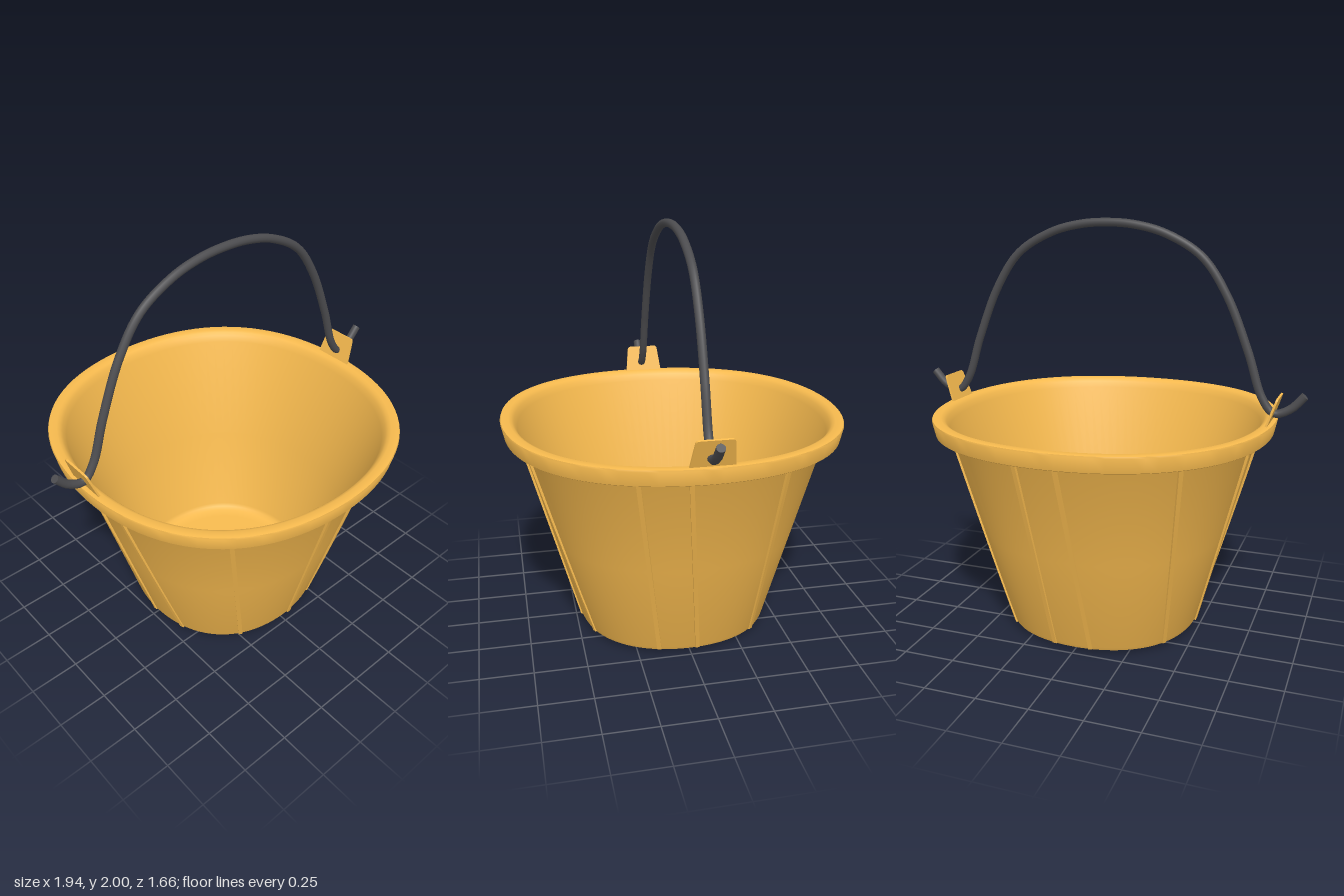
import * as THREE from 'three';
import { toCreasedNormals } from 'three/addons/utils/BufferGeometryUtils.js';

const yellow = new THREE.MeshStandardMaterial({ color: 0xf5b94e, side: THREE.DoubleSide });
const dark = new THREE.MeshStandardMaterial({ color: 0x4c4c4f, side: THREE.DoubleSide });
const deg = Math.PI / 180;

// The bucket is slightly squared in plan
const bulge = (a) => 1 + 0.034 * Math.sin(2 * a) ** 2;
const wallRadius = (y) => THREE.MathUtils.mapLinear(y, 0.02, 1, 0.475, 0.745);

function add(group, geometry, material, name) {
  const mesh = new THREE.Mesh(geometry, material);
  mesh.name = name;
  group.add(mesh);
  return mesh;
}

// Wall, overhanging rim, inside and floor in one turned profile
function bodyGeometry() {
  const profile = [
    [0, 0], [0.2, 0.002], [0.4, 0.008], [0.455, 0.011], [0.471, 0.018], [0.479, 0.035],
    [wallRadius(0.5), 0.5], [0.741, 0.985], [0.747, 0.996], [0.757, 1.0],
    [0.812, 1.0], [0.816, 1.003], [0.831, 1.07], [0.828, 1.078], [0.818, 1.08],
    [0.79, 1.08], [0.776, 1.074], [0.764, 1.06], [0.75, 1.03],
    [0.598, 0.5], [0.472, 0.06], [0.464, 0.04], [0.445, 0.028], [0.4, 0.022], [0, 0.02],
  ].map(([r, y]) => new THREE.Vector2(r, y));
  const geo = new THREE.LatheGeometry(profile, 96);
  const p = geo.attributes.position;
  for (let i = 0; i < p.count; i++) {
    const k = bulge(Math.atan2(p.getZ(i), p.getX(i)));
    p.setXYZ(i, p.getX(i) * k, p.getY(i), p.getZ(i) * k);
  }
  return toCreasedNormals(geo, 0.7);
}

// Straight strip laid on the wall between a top angle and a bottom angle
function ribGeometry(topAngle, bottomAngle) {
  const yLow = 0.022, yHigh = 1.002;
  const onWall = (angle, y) => new THREE.Vector2(
    wallRadius(y) * Math.cos(angle * deg), wallRadius(y) * Math.sin(angle * deg));
  const low = onWall(bottomAngle, yLow);
  const high = onWall(topAngle, yHigh);
  const geo = new THREE.BoxGeometry(0.02, 1, 1, 1, 12, 1);
  const p = geo.attributes.position;
  for (let i = 0; i < p.count; i++) {
    const t = p.getY(i) + 0.5;
    const y = THREE.MathUtils.lerp(yLow, yHigh, t);
    const base = wallRadius(y);
    const a = low.clone().lerp(high, t).angle() - p.getX(i) / base;
    const height = p.getZ(i) > 0 ? THREE.MathUtils.lerp(0.007, 0.013, t) : -0.002;
    const r = base * bulge(a) + height;
    p.setXYZ(i, r * Math.cos(a), y, r * Math.sin(a));
  }
  return toCreasedNormals(geo, 0.6);
}

// Tapered plate with rounded top corners
function lugGeometry() {
  const s = new THREE.Shape();
  s.moveTo(-0.1, 0);
  s.lineTo(0.1, 0);
  s.lineTo(0.085, 0.125);
  s.quadraticCurveTo(0.083, 0.142, 0.068, 0.142);
  s.lineTo(-0.068, 0.142);
  s.quadraticCurveTo(-0.083, 0.142, -0.085, 0.125);
  s.closePath();
  const geo = new THREE.ExtrudeGeometry(s, { depth: 0.01, bevelEnabled: false, curveSegments: 8 });
  return geo.translate(0, 0, -0.005);
}

export function createModel() {
  const model = new THREE.Group();
  model.name = 'bucket';

  add(model, bodyGeometry(), yellow, 'body');

  // Ribs: [top angle, bottom angle] from +x towards +z
  const ribs = new THREE.Group();
  ribs.name = 'ribs';
  model.add(ribs);
  [
    [5, -4], [22, 18], [73, 62], [89, 85], [129, 121], [173, 158],
    [189, 181], [227, 217], [268, 260], [283, 282], [329, 318],
  ].forEach(([top, bottom]) => add(ribs, ribGeometry(top, bottom), yellow, 'rib'));

  // Lugs lean outwards on both sides of the rim
  for (const side of [-1, 1]) {
    const holder = new THREE.Group();
    holder.name = side > 0 ? 'leftLug' : 'rightLug';
    holder.position.set(side * 0.8, 1.073, -0.01);
    holder.rotation.z = -side * 0.33;
    const lug = add(holder, lugGeometry(), yellow, 'lugPlate');
    lug.rotation.y = -Math.PI / 2;
    model.add(holder);
  }

  // Wire handle, mirrored about the middle, with hooked ends
  const half = [
    [0.958, 1.212], [0.895, 1.146], [0.82, 1.12], [0.762, 1.19], [0.69, 1.4],
    [0.58, 1.66], [0.46, 1.83], [0.29, 1.93], [0.14, 1.97],
  ];
  const points = [
    ...half.map(([x, y]) => new THREE.Vector3(-x, y, 0)),
    new THREE.Vector3(0, 1.98, 0),
    ...half.slice().reverse().map(([x, y]) => new THREE.Vector3(x, y, 0)),
  ];
  const curve = new THREE.CatmullRomCurve3(points);
  const handle = new THREE.Group();
  handle.name = 'handle';
  model.add(handle);
  add(handle, new THREE.TubeGeometry(curve, 120, 0.02, 12), dark, 'wire');
  for (const t of [0, 1]) {
    const cap = add(handle, new THREE.CircleGeometry(0.02, 12), dark, 'wireEnd');
    cap.position.copy(curve.getPointAt(t));
    const outward = curve.getTangentAt(t).multiplyScalar(t ? 1 : -1);
    cap.quaternion.setFromUnitVectors(new THREE.Vector3(0, 0, 1), outward);
  }
  return model;
}
